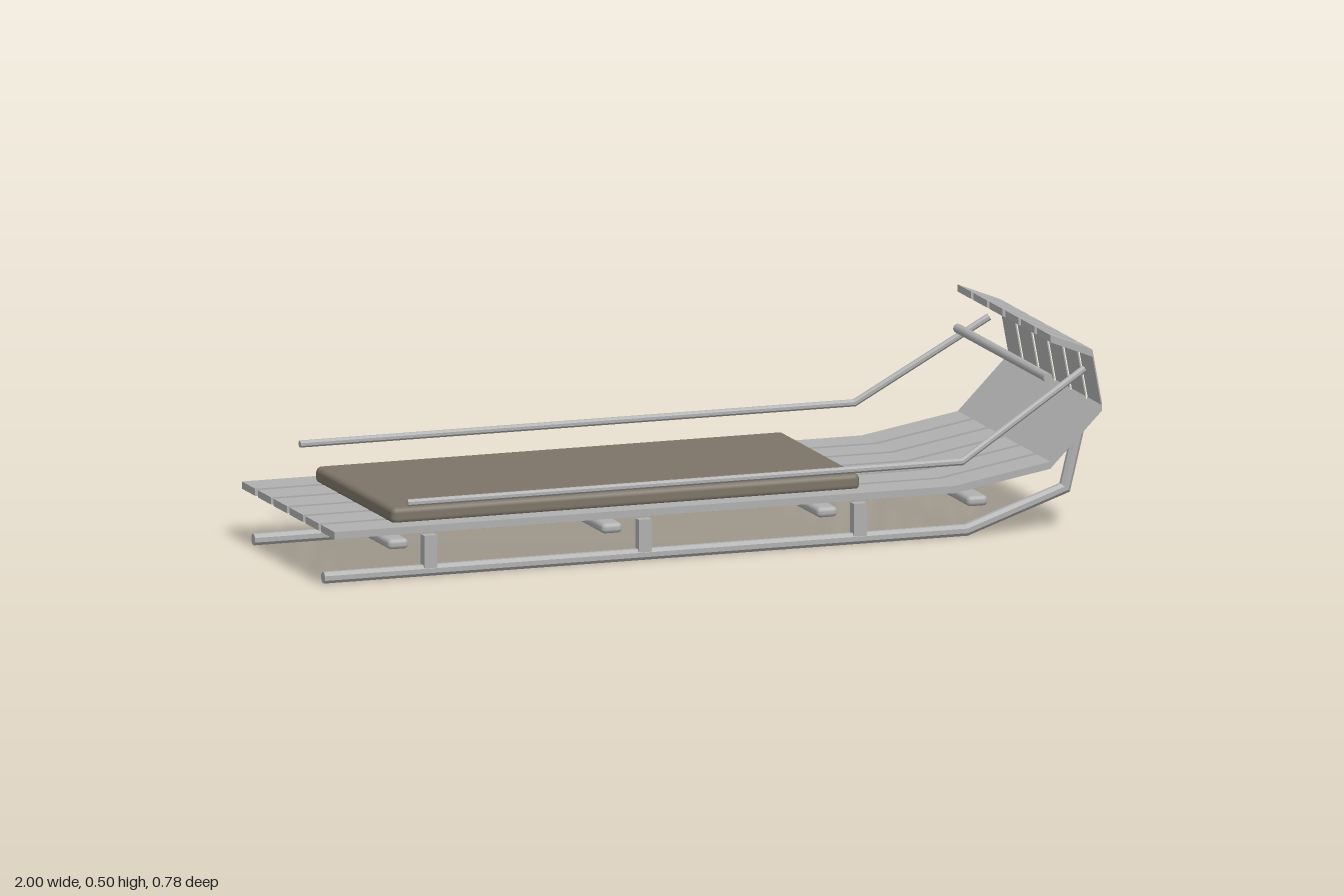
import * as THREE from 'three';
import { RoundedBoxGeometry } from 'three/addons/geometries/RoundedBoxGeometry.js';

const frameGrey = new THREE.MeshStandardMaterial({ color: 0xb0b0b0 });
frameGrey.name = 'frame grey';
const matBrown = new THREE.MeshStandardMaterial({ color: 0x7c7467 });
matBrown.name = 'mat brown';

// Faceted rod swept along a bent path, mitred at every corner
function rodGeometry(path, radius, sides = 8) {
  const pts = path.map((p) => new THREE.Vector3(...p));
  const last = pts.length - 1;
  const rings = pts.map((p, i) => {
    const before = pts[i].clone().sub(pts[Math.max(i - 1, 0)]).normalize();
    const after = pts[Math.min(i + 1, last)].clone().sub(p).normalize();
    const dir = before.clone().add(after).normalize();
    const miter = 1 / dir.dot(i < last ? after : before);
    const up = new THREE.Vector3(0, 0, 1).cross(dir).normalize();
    const side = dir.clone().cross(up);
    return Array.from({ length: sides }, (_, k) => {
      const a = ((k + 0.5) / sides) * Math.PI * 2;
      return p.clone()
        .addScaledVector(up, Math.cos(a) * radius * miter)
        .addScaledVector(side, Math.sin(a) * radius);
    });
  });
  const tris = [];
  for (let k = 0; k < sides; k++) {
    const n = (k + 1) % sides;
    for (let i = 0; i < last; i++) {
      const [a, b, c, d] = [rings[i][k], rings[i][n], rings[i + 1][n], rings[i + 1][k]];
      tris.push(a, b, c, a, c, d);
    }
    tris.push(pts[0], rings[0][n], rings[0][k]);
    tris.push(pts[last], rings[last][k], rings[last][n]);
  }
  const geo = new THREE.BufferGeometry().setFromPoints(tris);
  geo.computeVertexNormals();
  return geo;
}

// One straight stretch of a slat: a sheared plank between two profile points
function plankGeometry([x0, y0], [x1, y1], thickness, width) {
  const shape = new THREE.Shape([
    new THREE.Vector2(x0, y0 - thickness),
    new THREE.Vector2(x1, y1 - thickness),
    new THREE.Vector2(x1, y1),
    new THREE.Vector2(x0, y0),
  ]);
  const geo = new THREE.ExtrudeGeometry(shape, { depth: width, bevelEnabled: false });
  return geo.translate(0, 0, -width / 2);
}

export function createModel() {
  const model = new THREE.Group();
  model.name = 'sled';
  const add = (name, geo, material, x = 0, y = 0, z = 0) => {
    const mesh = new THREE.Mesh(geo, material);
    mesh.name = name;
    mesh.position.set(x, y, z);
    model.add(mesh);
    return mesh;
  };

  // Deck slats, curling up and back at the nose
  const profile = [[-1, 0.143], [0.615, 0.143], [0.865, 0.186], [1, 0.322], [0.975, 0.458], [0.865, 0.502]];
  const planks = profile.slice(1).map((p, i) => plankGeometry(profile[i], p, 0.018, 0.094));
  for (let i = 0; i < 6; i++) {
    const slat = new THREE.Group();
    slat.name = 'deckSlat';
    slat.position.z = (i - 2.5) * 0.112;
    planks.forEach((geo) => {
      const mesh = new THREE.Mesh(geo, frameGrey);
      mesh.name = 'slatPlank';
      slat.add(mesh);
    });
    model.add(slat);
  }

  // Padded mat
  add('mat', new RoundedBoxGeometry(1.22, 0.042, 0.55, 3, 0.014), matBrown, -0.22, 0.159, 0);

  // Cross bars under the deck, with small spacers up to the slats
  for (const x of [-0.835, -0.278, 0.283, 0.674]) {
    add('crossBar', new RoundedBoxGeometry(0.054, 0.026, 0.67, 2, 0.011), frameGrey, x, 0.102, 0);
    for (const z of [-0.247, 0.247]) {
      add('spacer', new THREE.CylinderGeometry(0.012, 0.012, 0.014, 8), frameGrey, x, 0.119, z);
    }
  }

  // Tie bar inside the curl
  add('tieBar', new THREE.CylinderGeometry(0.012, 0.012, 0.64, 8), frameGrey, 0.862, 0.394, 0)
    .rotation.x = Math.PI / 2;

  for (const s of [-1, 1]) {
    // Runner with upturned nose
    const z = s * 0.247;
    add('runner', rodGeometry([[-1, 0.014, z], [0.675, 0.014, z], [0.932, 0.102, z], [0.97, 0.258, z]], 0.015), frameGrey);

    // Posts standing on the runner
    for (const x of [-0.724, -0.165, 0.395]) {
      add('post', new THREE.BoxGeometry(0.034, 0.086, 0.026), frameGrey, x, 0.059, z);
    }

    // Hand rail sloping up and in toward the curl
    add('handRail', rodGeometry([[-0.83, 0.214, s * 0.38], [0.615, 0.214, s * 0.38], [0.95, 0.414, s * 0.336]], 0.009), frameGrey);
  }
  return model;
}
